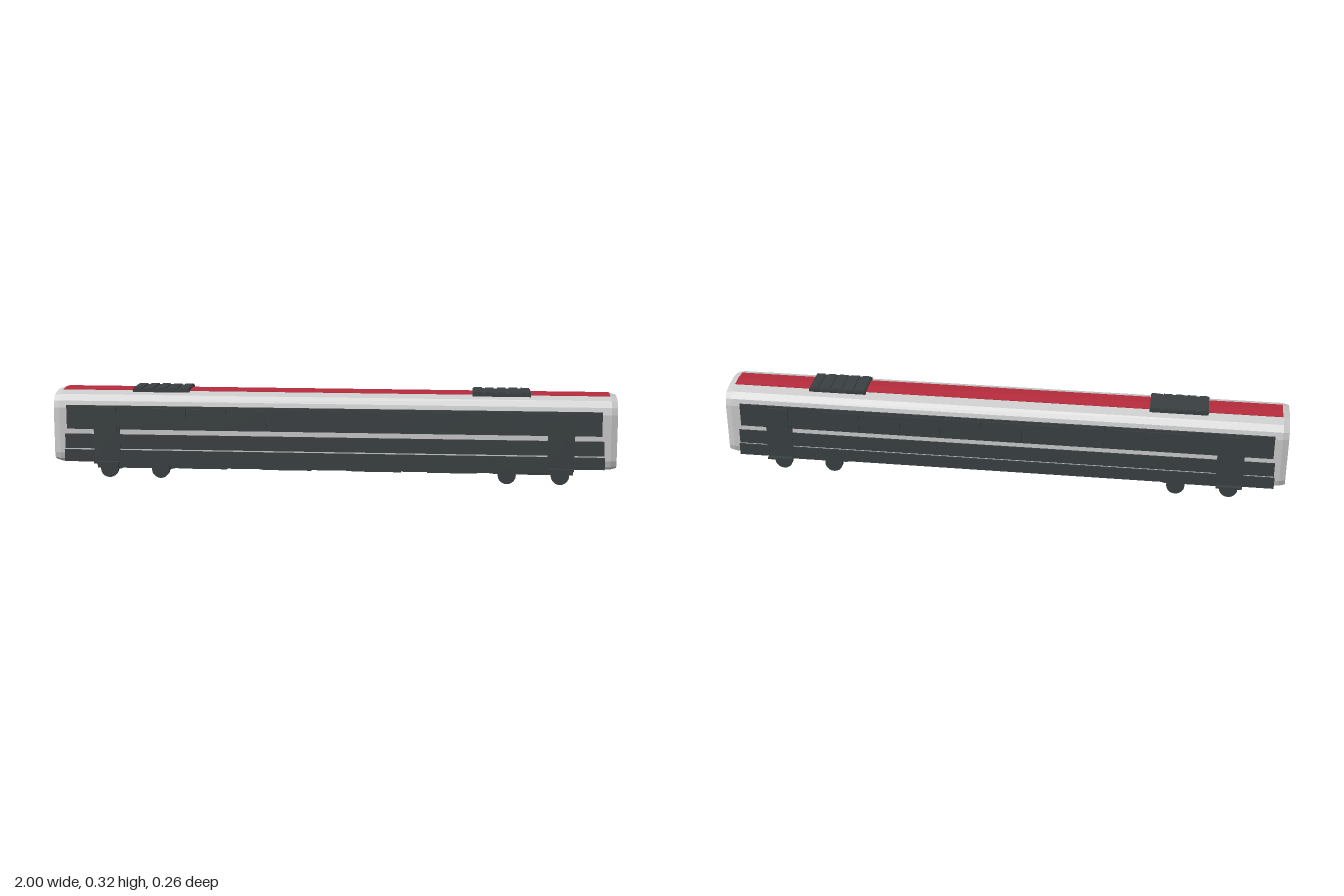
import * as THREE from 'three';

const grey = new THREE.MeshStandardMaterial({ color: 0xcccccc, flatShading: true });
const dark = new THREE.MeshStandardMaterial({ color: 0x3a4042 });
const red = new THREE.MeshStandardMaterial({ color: 0xb52b3c, side: THREE.DoubleSide });

export function createModel() {
  const model = new THREE.Group();

  function add(name, geometry, material, x = 0, y = 0, z = 0) {
    const mesh = new THREE.Mesh(geometry, material);
    mesh.name = name;
    mesh.position.set(x, y, z);
    model.add(mesh);
    return mesh;
  }
  // Box given by its limits on each axis
  function box(name, x0, x1, y0, y1, z0, z1, material = dark) {
    return add(name, new THREE.BoxGeometry(x1 - x0, y1 - y0, Math.abs(z1 - z0)), material,
      (x0 + x1) / 2, (y0 + y1) / 2, (z0 + z1) / 2);
  }
  // Extrude a z-y profile along x, centred on x = 0
  function extrudeAlongX(points, length, options) {
    const shape = new THREE.Shape(points.map(([z, y]) => new THREE.Vector2(z, y)));
    const g = new THREE.ExtrudeGeometry(shape, { depth: length, steps: 1, bevelEnabled: false, ...options });
    return g.translate(0, 0, -length / 2).rotateY(Math.PI / 2);
  }

  // Car body with chamfered ends
  const half = [[0.08, 0.058], [0.1, 0.07], [0.106, 0.092], [0.106, 0.255],
    [0.1, 0.28], [0.083, 0.301], [0.045, 0.312]];
  const profile = [...half, [0, 0.315], ...half.slice().reverse().map(([z, y]) => [-z, y])];
  add('body', extrudeAlongX(profile, 1.95,
    { bevelEnabled: true, bevelSegments: 1, bevelSize: 0.006, bevelOffset: -0.006, bevelThickness: 0.021 }), grey);

  // Red roof stripe
  add('roofStripe', extrudeAlongX([[-0.046, 0.309], [0.046, 0.309], [0.046, 0.3132], [0, 0.3165], [-0.046, 0.3132]], 1.945), red);

  // Ribbed roof units
  for (const cx of [-0.615, 0.595]) {
    box('roofUnit', cx - 0.102, cx + 0.102, 0.305, 0.319, -0.06, 0.06);
    for (let i = 0; i < 5; i++) {
      const x = cx - 0.084 + i * 0.042;
      box('roofUnitRib', x - 0.015, x + 0.015, 0.318, 0.323, -0.057, 0.057);
    }
  }

  // Both long sides
  for (const s of [1, -1]) {
    box('windowBand', -0.948, 0.943, 0.18, 0.265, s * 0.1, s * 0.11);
    box('lowerPanel', -0.955, 0.952, 0.11, 0.162, s * 0.1, s * 0.11);
    box('skirt', -0.958, 0.955, 0.062, 0.105, s * 0.104, s * 0.111);
    for (let i = 0; i < 9; i++) {
      const x = -0.005 + (i - 4) * 0.145;
      box('window', x - 0.066, x + 0.066, 0.188, 0.257, s * 0.108, s * 0.114);
    }
    for (const d of [-1, 1]) {
      const x = d * 0.803;
      box('door', x - 0.047, x + 0.047, 0.064, 0.215, s * 0.1, s * 0.113);
      box('doorWindow', x - 0.035, x + 0.035, 0.17, 0.258, s * 0.11, s * 0.116);
      box('doorStep', x - 0.045, x + 0.045, 0.058, 0.065, s * 0.1, s * 0.128);
    }
  }

  // Gangway doors at both ends
  for (const e of [-1, 1]) {
    const [a, b] = e > 0 ? [0.985, 1] : [-1, -0.985];
    box('gangwayDoor', a, b, 0.072, 0.25, -0.045, 0.045);
  }

  // Underframe and equipment boxes
  box('underframe', -0.85, 0.85, 0.045, 0.06, -0.078, 0.078);
  box('underframeCore', -0.6, 0.6, 0.035, 0.046, -0.067, 0.067);
  for (const x of [-0.47, -0.165, 0.155, 0.425]) {
    box('equipmentBox', x - 0.088, x + 0.088, 0.03, 0.037, -0.055, 0.055);
  }

  // Bogies with wheels and axles
  for (const cx of [-0.71, 0.71]) {
    box('bogieFrame', cx - 0.14, cx + 0.14, 0.032, 0.048, -0.067, 0.067);
    for (const dx of [-0.093, 0.093]) {
      const axle = new THREE.CylinderGeometry(0.009, 0.009, 0.14, 12).rotateX(Math.PI / 2);
      add('axle', axle, dark, cx + dx, 0.032, 0);
      for (const s of [1, -1]) {
        const wheel = new THREE.CylinderGeometry(0.032, 0.032, 0.017, 20).rotateX(Math.PI / 2);
        add('wheel', wheel, dark, cx + dx, 0.032, s * 0.074);
        const hub = new THREE.CylinderGeometry(0.012, 0.012, 0.004, 12).rotateX(Math.PI / 2);
        add('wheelHub', hub, dark, cx + dx, 0.032, s * 0.083);
      }
    }
  }
  return model;
}
